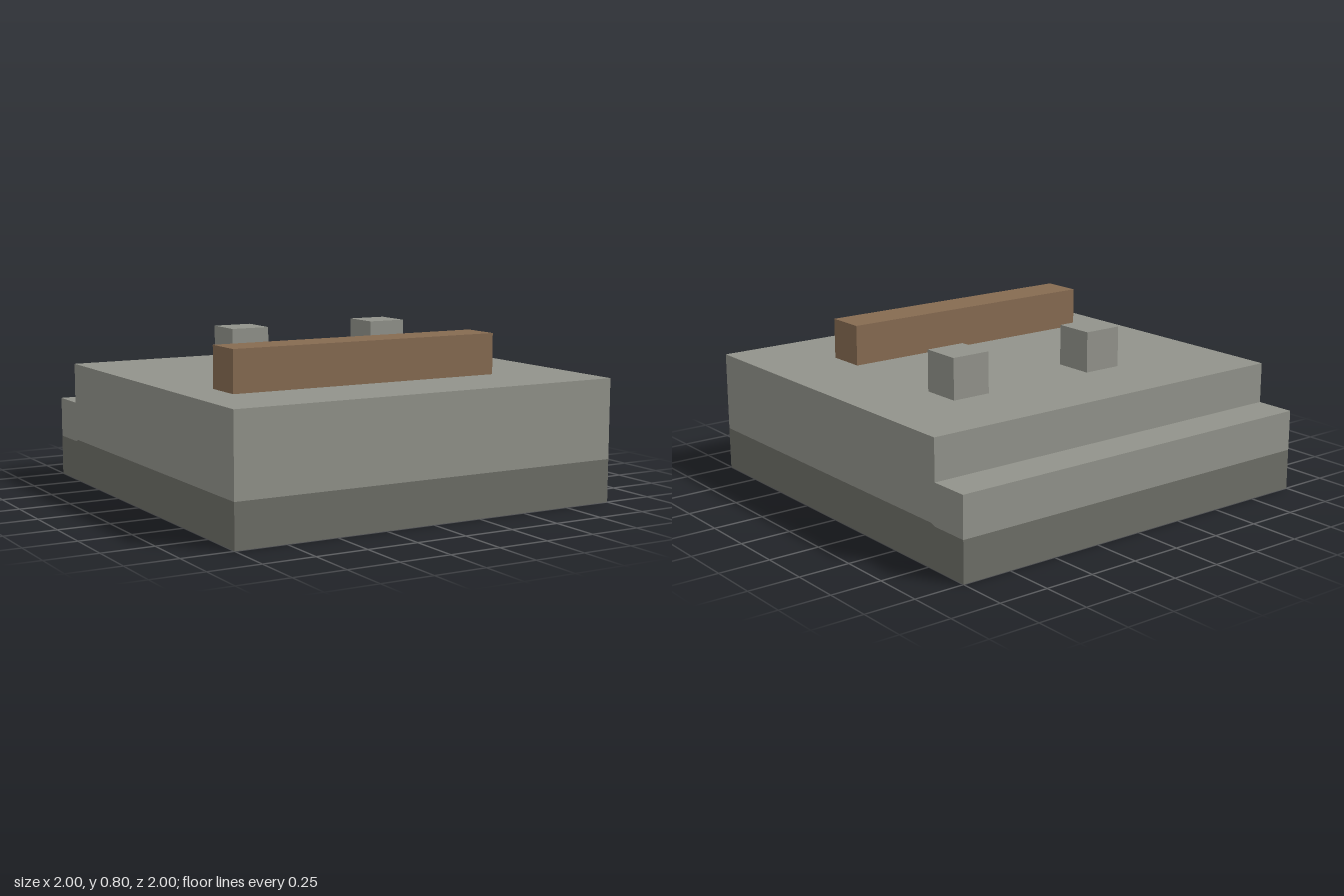
import * as THREE from 'three';

const stone = new THREE.MeshStandardMaterial({ name: 'light stone', color: 0x92938b });
const darkStone = new THREE.MeshStandardMaterial({ name: 'dark stone', color: 0x6d6e67 });
const wood = new THREE.MeshStandardMaterial({ name: 'brown wood', color: 0x866b51 });

export function createModel() {
  const model = new THREE.Group();
  model.name = 'steppedSlab';

  const add = (name, geometry, material) => {
    const mesh = new THREE.Mesh(geometry, material);
    mesh.name = name;
    model.add(mesh);
    return mesh;
  };

  // Side profile of [z, y] points, extruded across the full width
  const slab = (name, points, material) => {
    const shape = new THREE.Shape(points.map(([z, y]) => new THREE.Vector2(z, y)));
    const geometry = new THREE.ExtrudeGeometry(shape, { depth: 2, bevelEnabled: false });
    geometry.rotateY(-Math.PI / 2).translate(1, 0, 0);
    return add(name, geometry, material);
  };

  // Box standing on the slab's top
  const block = (name, width, x, z, material) =>
    add(name, new THREE.BoxGeometry(width, 0.2, 0.2), material).position.set(x, 0.7, z);

  // Colour seam dips slightly under the rear step
  const seam = [[1, 0.21], [-0.77, 0.21], [-0.8, 0.2], [-1, 0.2]];
  slab('base', [[-1, 0], [1, 0], ...seam], darkStone);
  slab('steppedTop', [...[...seam].reverse(), [1, 0.6], [-0.8, 0.6], [-0.8, 0.4], [-1, 0.4]], stone);

  // Front beam and the two rear pegs
  block('beam', 1.4, -0.1, 0.5, wood);
  block('leftPeg', 0.2, 0.5, -0.3, stone);
  block('rightPeg', 0.2, -0.3, -0.3, stone);

  return model;
}
